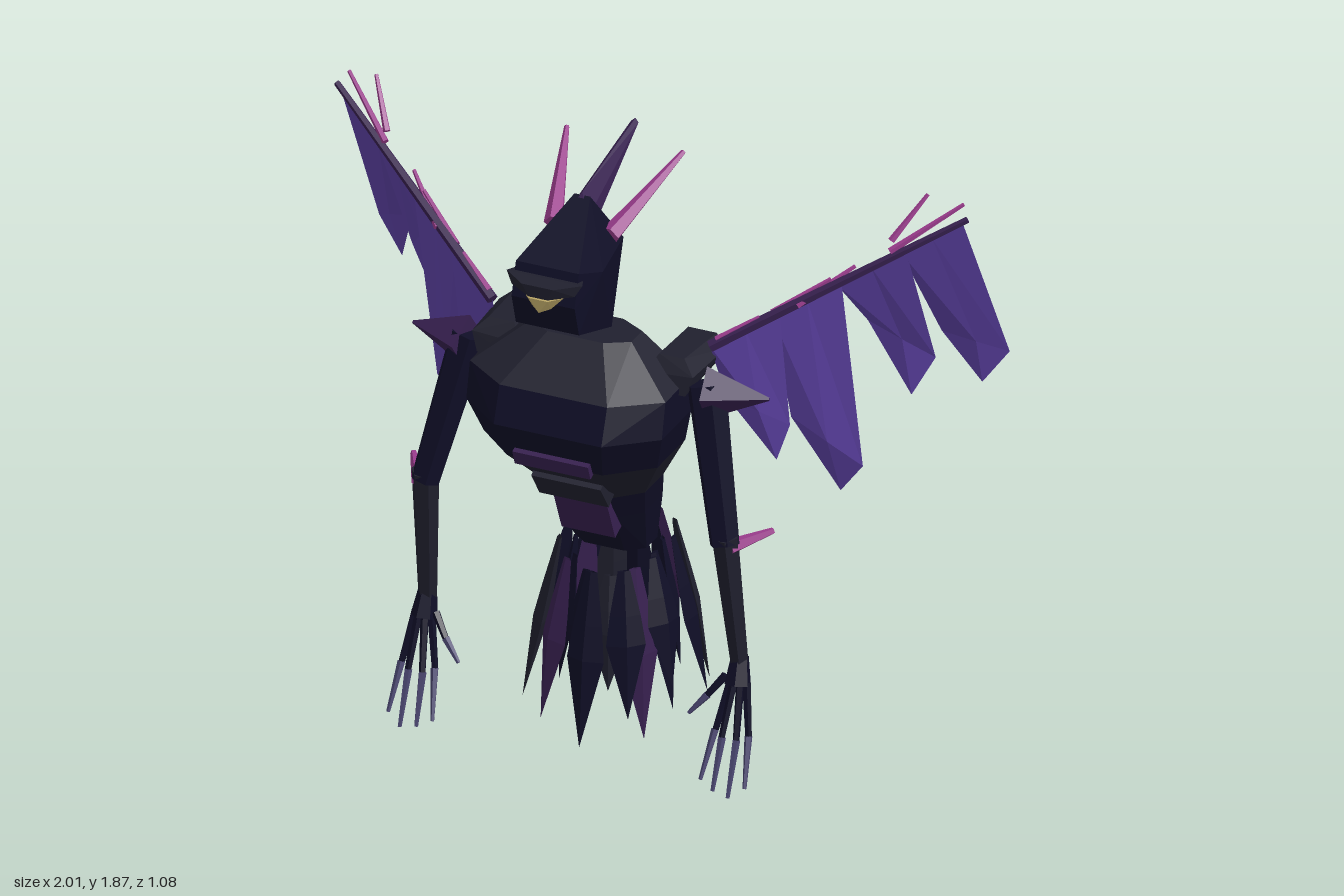
import * as THREE from 'three';
import { ConvexGeometry } from 'three/addons/geometries/ConvexGeometry.js';

const mat = (name, color) =>
  new THREE.MeshStandardMaterial({ name, color, flatShading: true, side: THREE.DoubleSide });
const M = {
  navy: mat('midnight navy', 0x0f0e26),
  char: mat('charcoal', 0x20202e),
  plum: mat('dark plum', 0x37204f),
  purple: mat('wing purple', 0x5f43a8),
  magenta: mat('spike magenta', 0x9a3c8c),
  gold: mat('beak gold', 0xb9a566),
  claw: mat('claw grey violet', 0x4a4670),
};
const V = (a) => new THREE.Vector3(...a);

export function createModel() {
  const root = new THREE.Group();
  const add = (name, geo, m, parent = root) => {
    const mesh = new THREE.Mesh(geo, m);
    mesh.name = name;
    parent.add(mesh);
    return mesh;
  };
  // Tapered rod between two points
  const rod = (name, a, b, r1, r2, m, sides = 6, parent = root) => {
    const A = V(a), d = V(b).sub(A);
    const mesh = add(name, new THREE.CylinderGeometry(r2, r1, d.length(), sides), m, parent);
    mesh.position.copy(A).addScaledVector(d, 0.5);
    mesh.quaternion.setFromUnitVectors(new THREE.Vector3(0, 1, 0), d.normalize());
    return mesh;
  };
  const hull = (name, pts, m, parent) => add(name, new ConvexGeometry(pts.map(V)), m, parent);
  const both = (pts) => pts.flatMap(([x, y, z]) => [[x, y, z], [-x, y, z]]);
  const slab = (name, size, pos, tilt, m) => {
    const mesh = add(name, new THREE.BoxGeometry(...size), m);
    mesh.position.set(...pos);
    mesh.rotation.x = tilt;
    return mesh;
  };
  // Surface from a list of corner points and triangles
  const faces = (pts, idx) => {
    const g = new THREE.BufferGeometry();
    g.setAttribute('position', new THREE.Float32BufferAttribute(pts.flat(), 3));
    g.setIndex(idx);
    const flat = g.toNonIndexed();
    flat.computeVertexNormals();
    return flat;
  };

  // Torso: stacked eight-sided rings [y, half width, back z, front z]
  const rings = [
    [1.36, 0.16, 0.12, 0.28], [1.24, 0.31, 0.05, 0.43], [1.13, 0.31, 0.03, 0.47],
    [1.01, 0.275, 0.0, 0.42], [0.83, 0.165, -0.05, 0.23], [0.74, 0.145, -0.08, 0.18], [0.58, 0.115, -0.08, 0.08],
  ];
  const ring = ([y, w, b, f]) => {
    const d = f - b;
    return both([[w * 0.55, y, f], [w, y, f - d * 0.26], [w, y, b + d * 0.28], [w * 0.5, y, b]]);
  };
  const bands = [['chestTop', M.char], ['chest', M.navy], ['lowerChest', M.navy],
    ['abdomen', M.char], ['waist', M.navy], ['hips', M.navy]];
  bands.forEach(([name, m], i) => hull(name, [...ring(rings[i]), ...ring(rings[i + 1])], m));

  // Belly and back plates
  slab('upperBellyPlate', [0.24, 0.05, 0.06], [0, 1.03, 0.415], 0.35, M.plum);
  slab('middleBellyPlate', [0.22, 0.1, 0.06], [0, 0.89, 0.29], 0.6, M.char);
  slab('lowerBellyPlate', [0.17, 0.15, 0.06], [0, 0.76, 0.19], 0.4, M.plum);
  slab('backPlate', [0.2, 0.09, 0.05], [0, 0.86, -0.045], 0.35, M.char);
  slab('tailPlate', [0.17, 0.08, 0.05], [0, 0.74, -0.075], 0.3, M.navy);

  // Spine spikes
  rod('neckSpike', [0, 1.34, 0.16], [0, 1.48, 0.075], 0.028, 0.008, M.magenta, 5);
  rod('backSpike', [0, 0.96, 0.02], [0, 1.06, -0.11], 0.028, 0.006, M.magenta, 5);
  rod('tailSpike', [0, 0.76, -0.06], [0, 0.825, -0.2], 0.035, 0.01, M.plum, 5);

  // Head
  const head = new THREE.Group();
  head.name = 'head';
  root.add(head);
  hull('hood', both([
    [0.025, 1.8, 0.23], [0.1, 1.68, 0.47], [0.125, 1.64, 0.36], [0.1, 1.58, 0.5],
    [0.1, 1.48, 0.47], [0.1, 1.4, 0.245], [0.105, 1.66, 0.175],
  ]), M.navy, head);
  hull('brow', both([
    [0.12, 1.655, 0.49], [0.1, 1.62, 0.5], [0.03, 1.61, 0.535], [0.05, 1.65, 0.54], [0.1, 1.65, 0.44],
  ]), M.char, head);
  hull('beak', [...both([
    [0.065, 1.607, 0.5], [0.03, 1.57, 0.51], [0.03, 1.605, 0.535],
  ]), [0, 1.56, 0.53]], M.gold, head);
  hull('crest', [
    [-0.035, 1.75, 0.27], [0.035, 1.75, 0.27], [0, 1.81, 0.23], [-0.04, 1.73, 0.2], [0.04, 1.73, 0.2],
    [0, 1.875, -0.135], [0.012, 1.865, -0.13], [-0.012, 1.865, -0.13],
  ], M.plum, head);

  // Wing feathers: root span along the leading edge (0 to 1), outer corner, tip, inner corner
  const feathers = [
    [0.98, 0.74, [1.0, 1.14, -0.54], [0.92, 1.03, -0.525], [0.84, 1.23, -0.42]],
    [0.76, 0.49, [0.83, 1.15, -0.4], [0.76, 1.02, -0.385], [0.675, 1.3, -0.27]],
    [0.51, 0.24, [0.675, 0.84, -0.235], [0.6, 0.74, -0.245], [0.51, 1.03, -0.1]],
    [0.27, 0.0, [0.52, 1.02, -0.07], [0.48, 0.9, -0.065], [0.36, 1.12, 0.02]],
  ];
  const wingBase = V([0.345, 1.32, 0.1]), wingEnd = V([1.0, 1.71, -0.25]);
  const wingSpikes = [
    [[0.8, 1.61, -0.15], [0.975, 1.74, -0.28]], [[0.8, 1.64, -0.16], [0.875, 1.765, -0.25]],
    [[0.5, 1.42, 0.01], [0.645, 1.52, -0.08]], [[0.57, 1.45, -0.01], [0.7, 1.55, -0.13]],
    [[0.36, 1.34, 0.09], [0.47, 1.41, 0.03]],
  ];
  // Finger paths: knuckle, middle joint, tip
  const fingers = [
    [[0.525, 0.33, 0.24], [0.55, 0.18, 0.28], [0.565, 0.04, 0.34]],
    [[0.51, 0.33, 0.25], [0.52, 0.17, 0.3], [0.52, 0.01, 0.36]],
    [[0.49, 0.33, 0.25], [0.475, 0.17, 0.3], [0.47, 0.02, 0.355]],
    [[0.475, 0.33, 0.24], [0.445, 0.18, 0.28], [0.425, 0.04, 0.34]],
    [[0.46, 0.34, 0.24], [0.415, 0.28, 0.27], [0.365, 0.22, 0.29]],
  ];

  for (const [side, s] of [['left', 1], ['right', -1]]) {
    const P = ([x, y, z]) => [s * x, y, z];
    rod(side + 'Horn', P([0.09, 1.69, 0.23]), P([0.185, 1.84, -0.065]), 0.03, 0.008, M.magenta, 5, head);

    // Shoulder and arm
    const arm = new THREE.Group();
    arm.name = side + 'Arm';
    root.add(arm);
    hull(side + 'Shoulder', [
      [0.23, 1.31, 0], [0.32, 1.31, 0], [0.23, 1.32, 0.2], [0.31, 1.32, 0.2], [0.36, 1.28, 0.02],
      [0.35, 1.28, 0.23], [0.2, 1.27, 0.23], [0.22, 1.23, -0.03], [0.33, 1.23, -0.03], [0.22, 1.22, 0.24], [0.33, 1.22, 0.24],
    ].map(P), M.char, arm);
    rod('upperArm', P([0.375, 1.25, 0.19]), P([0.475, 0.79, 0.28]), 0.06, 0.045, M.navy, 6, arm);
    rod('forearm', P([0.475, 0.82, 0.28]), P([0.495, 0.37, 0.22]), 0.042, 0.028, M.char, 6, arm);
    rod('wrist', P([0.495, 0.4, 0.22]), P([0.497, 0.32, 0.24]), 0.027, 0.04, M.navy, 6, arm);
    rod('shoulderSpike', P([0.38, 1.225, 0.2]), P([0.565, 1.23, 0.17]), 0.08, 0.005, M.plum, 4, arm);
    rod('elbowSpike', P([0.49, 0.785, 0.285]), P([0.57, 0.795, 0.155]), 0.025, 0.01, M.magenta, 5, arm);
    fingers.forEach(([a, b, c]) => {
      rod('finger', P(a), P(b), 0.013, 0.01, M.navy, 5, arm);
      rod('claw', P(b), P(c), 0.012, 0.006, M.claw, 5, arm);
    });

    // Wing
    const wing = new THREE.Group();
    wing.name = side + 'Wing';
    root.add(wing);
    const along = (t) => wingBase.clone().lerp(wingEnd, t).toArray();
    rod('wingBone', P(along(0)), P(along(1)), 0.018, 0.01, M.plum, 5, wing);
    feathers.forEach(([t1, t2, outer, tip, inner]) => {
      const ridgeTop = along((t1 + t2) / 2);
      const ridge = V(outer).lerp(V(inner), 0.5).add(V([0.01, 0.01, 0.02])).toArray();
      const pts = [along(t1), ridgeTop, along(t2), outer, ridge, inner, tip].map(P);
      add('wingFeather', faces(pts, s > 0
        ? [0, 1, 3, 1, 4, 3, 1, 2, 4, 2, 5, 4, 3, 4, 6, 4, 5, 6]
        : [0, 3, 1, 1, 3, 4, 1, 4, 2, 2, 4, 5, 3, 6, 4, 4, 6, 5]), M.purple, wing);
    });
    wingSpikes.forEach(([a, b]) => rod('wingSpike', P(a), P(b), 0.011, 0.006, M.magenta, 5, wing));
  }

  // Ragged skirt: two rings of leaf-shaped feathers around the hips
  const skirt = new THREE.Group();
  skirt.name = 'skirt';
  root.add(skirt);
  const leaf = new THREE.LatheGeometry(
    [[0, -1], [0.058, -0.5], [0.045, -0.3], [0.018, 0]].map((p) => new THREE.Vector2(...p)), 4);
  const colours = [M.navy, M.navy, M.plum, M.navy, M.char];
  const lengths = [0.5, 0.4, 0.53, 0.45, 0.36, 0.54, 0.42];
  for (let i = 0; i < 22; i++) {
    const a = (i + 0.5) / 22 * Math.PI * 2, out = i % 2;
    const c = Math.cos(a), n = Math.sin(a);
    const r = out ? 0.165 : 0.125;
    const holder = new THREE.Group();
    holder.position.set(c * r, 0.59 - (out ? 0 : 0.03) - 0.05 * Math.max(0, n), n * r * 1.1 - 0.015);
    holder.rotation.y = Math.PI / 2 - a;
    const mesh = add('skirtFeather', leaf, colours[i % 5], holder);
    mesh.scale.set(1, lengths[i % 7], 0.4);
    mesh.rotation.x = -(out ? 0.16 : 0.1) * (1 + 0.3 * Math.abs(c));
    skirt.add(holder);
  }
  return root;
}
